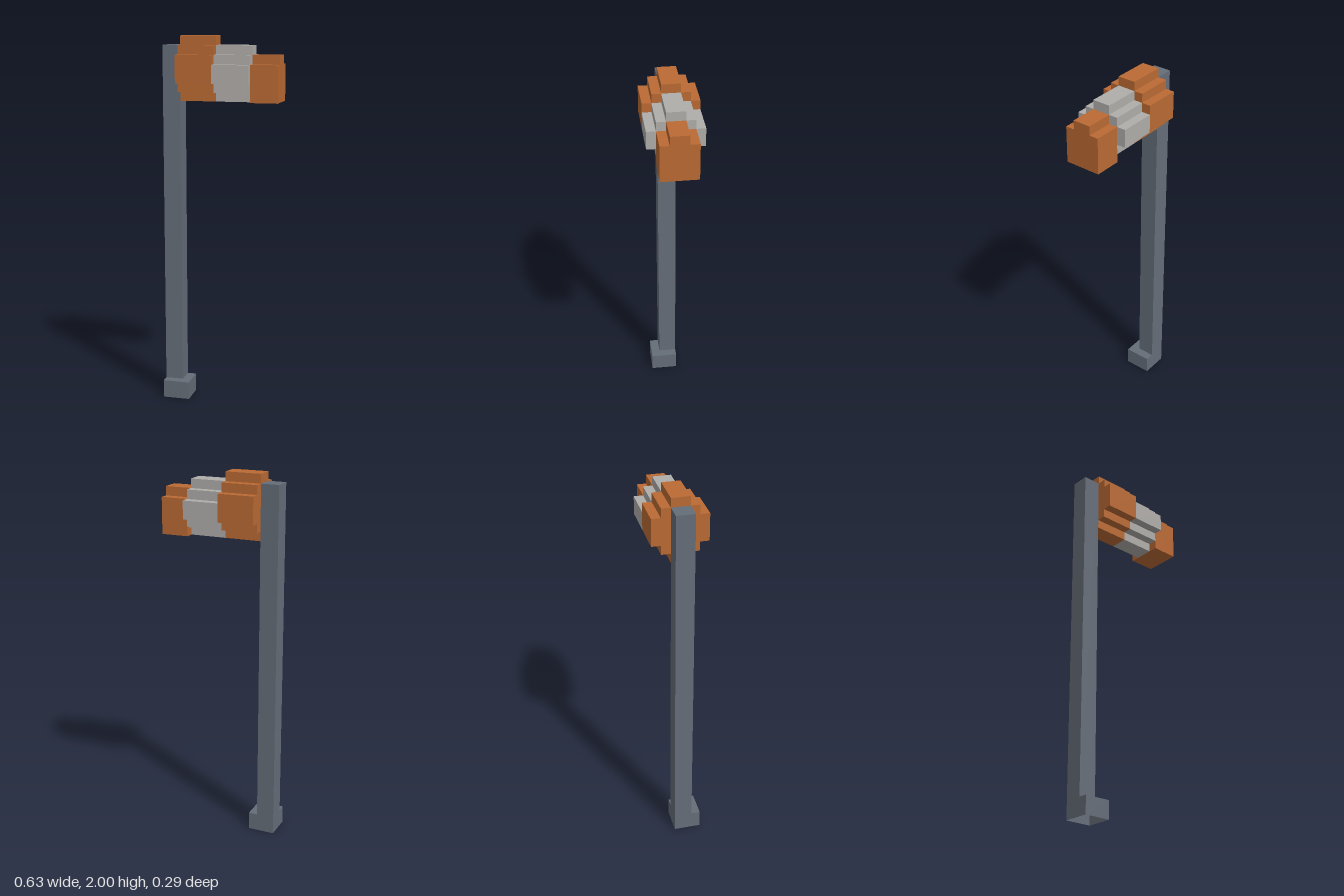
import * as THREE from 'three';

const U = 2 / 41; // one block unit

const mat = (name, color, side = THREE.FrontSide) => {
  const m = new THREE.MeshStandardMaterial({ color, side });
  m.name = name;
  return m;
};

// Box given by its min and max corners in block units
function block(name, [x0, y0, z0], [x1, y1, z1], material) {
  const geo = new THREE.BoxGeometry((x1 - x0) * U, (y1 - y0) * U, (z1 - z0) * U);
  geo.translate((x0 + x1) / 2 * U, (y0 + y1) / 2 * U, (z0 + z1) / 2 * U);
  const mesh = new THREE.Mesh(geo, material);
  mesh.name = name;
  return mesh;
}

// Sock section: a stepped profile, mirrored in z and extruded along x.
// half lists [halfWidth, y] from the bottom up, in block units.
function sockSection(name, x0, x1, half, material) {
  const right = half.map(([w, y]) => new THREE.Vector2(w * U, y * U));
  const left = half.map(([w, y]) => new THREE.Vector2(-w * U, y * U)).reverse();
  const geo = new THREE.ExtrudeGeometry(new THREE.Shape([...right, ...left]), {
    depth: (x1 - x0) * U, bevelEnabled: false,
  });
  geo.rotateY(Math.PI / 2).translate(x0 * U, 0, 0);
  const mesh = new THREE.Mesh(geo, material);
  mesh.name = name;
  return mesh;
}

// Rounded-looking profile: narrow bottom, wide middle, narrow top
const barrel = (top) => [
  [1, 34], [1, 35], [2, 35], [2, 36], [3, 36],
  [3, top - 2], [2, top - 2], [2, top - 1], [1, top - 1], [1, top],
];

export function createModel() {
  const slate = mat('slate metal', 0x656d78, THREE.DoubleSide);
  const orange = mat('orange cloth', 0xba6a33);
  const pale = mat('pale grey cloth', 0xb0adaa);

  const model = new THREE.Group();
  model.name = 'windsock';

  // Pole and its foot, which is open underneath
  const foot = block('foot', [-6.5, 0, -1], [-3.5, 2, 2], slate);
  const index = Array.from(foot.geometry.index.array);
  index.splice(18, 6); // drop the bottom face
  foot.geometry.setIndex(index);
  foot.geometry.clearGroups();
  model.add(foot, block('pole', [-6.5, 2, -1], [-4.5, 40, 1], slate));

  // Sock, stepping down from the pole to the tip
  const sock = new THREE.Group();
  sock.name = 'sock';
  sock.add(
    sockSection('sockMouth', -4.5, -0.5, barrel(41), orange),
    sockSection('sockMiddle', -0.5, 3.5, barrel(40), pale),
    sockSection('sockTip', 3.5, 6.5, [[2, 34], [2, 38], [1, 38], [1, 39]], orange),
  );
  model.add(sock);
  return model;
}
